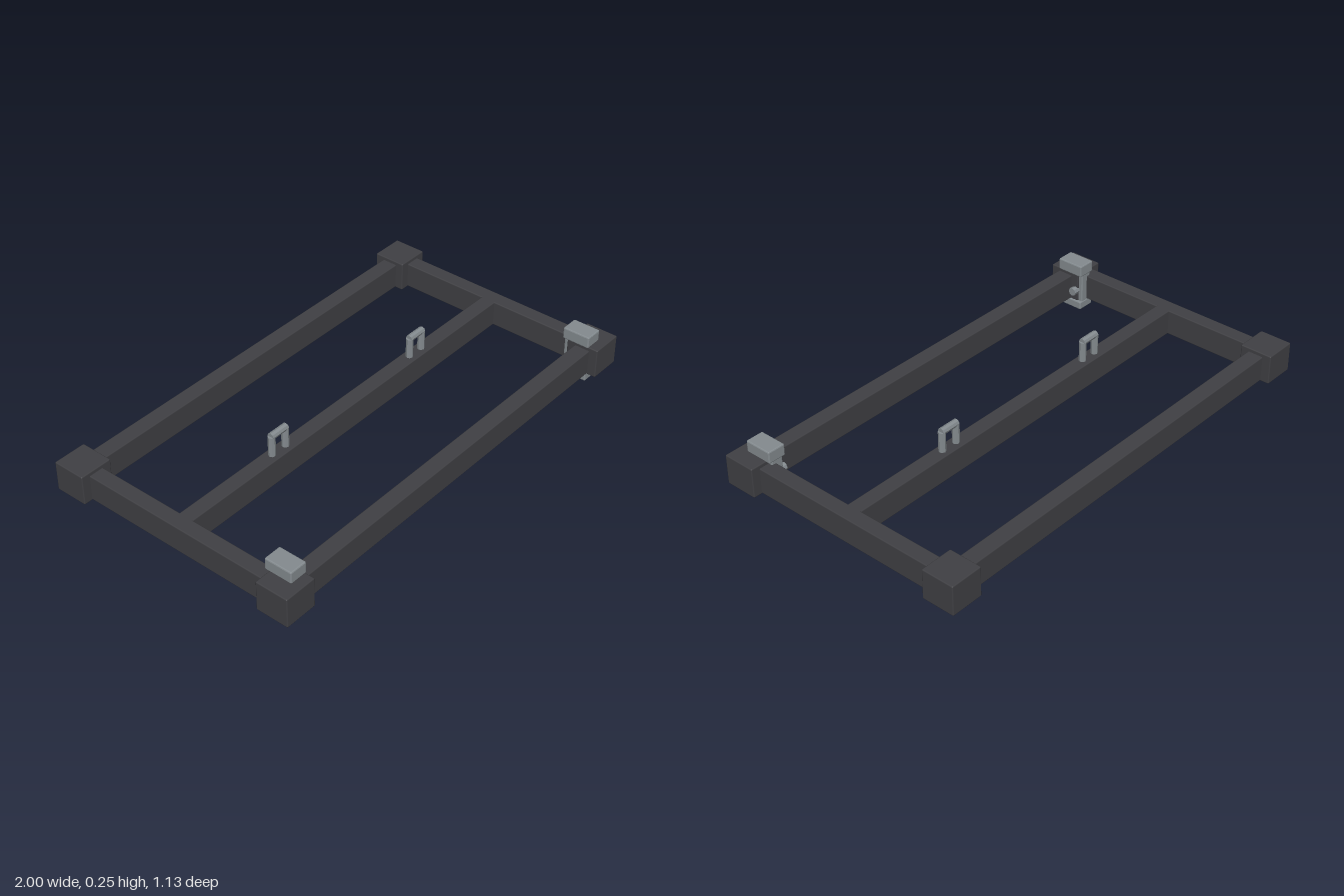
import * as THREE from 'three';
import { RoundedBoxGeometry } from 'three/addons/geometries/RoundedBoxGeometry.js';

export function createModel() {
  const model = new THREE.Group();
  model.name = 'frame';
  const darkSteel = new THREE.MeshStandardMaterial({ color: 0x404044 });
  darkSteel.name = 'dark steel';
  const greySteel = new THREE.MeshStandardMaterial({ color: 0x848b8f, flatShading: true });
  greySteel.name = 'grey steel';

  // Softly bevelled box given by its limits on each axis
  function box(parent, name, material, [x0, x1], [y0, y1], [z0, z1], bevel = 0.005) {
    const geometry = new RoundedBoxGeometry(x1 - x0, y1 - y0, z1 - z0, 1, bevel);
    const mesh = new THREE.Mesh(geometry, material);
    mesh.position.set((x0 + x1) / 2, (y0 + y1) / 2, (z0 + z1) / 2);
    mesh.name = name;
    parent.add(mesh);
    return mesh;
  }

  // Eight-sided bar between two points
  function bar(parent, name, radius, a, b) {
    const from = new THREE.Vector3(...a), to = new THREE.Vector3(...b);
    const dir = to.clone().sub(from);
    const geometry = new THREE.CylinderGeometry(radius, radius, dir.length(), 8);
    const mesh = new THREE.Mesh(geometry, greySteel);
    mesh.position.copy(from).add(to).multiplyScalar(0.5);
    mesh.quaternion.setFromUnitVectors(new THREE.Vector3(0, 1, 0), dir.normalize());
    mesh.name = name;
    parent.add(mesh);
  }

  // Long rails and the middle crossbar
  const railY = [0.037, 0.148];
  box(model, 'frontRail', darkSteel, [-0.9, 0.9], railY, [0.459, 0.529]);
  box(model, 'backRail', darkSteel, [-0.9, 0.9], railY, [-0.529, -0.459]);
  box(model, 'middleRail', darkSteel, [-0.93, 0.93], railY, [-0.033, 0.033]);

  for (const s of [-1, 1]) {
    const span = (a, b) => (s > 0 ? [a, b] : [-b, -a]);
    const side = s > 0 ? 'left' : 'right';

    // Side rail and its two corner blocks
    box(model, side + 'SideRail', darkSteel, span(0.896, 0.962), railY, [-0.45, 0.45]);
    box(model, side + 'FrontCorner', darkSteel, span(0.857, 1), [0.035, 0.164], [0.424, 0.567]);
    box(model, side + 'BackCorner', darkSteel, span(0.857, 1), [0.035, 0.164], [-0.567, -0.424]);

    // Clamp gripping the front corner, with a cross bolt
    const clamp = new THREE.Group();
    clamp.name = side + 'Clamp';
    box(clamp, 'clampTop', greySteel, span(0.852, 0.93), [0.16, 0.211], [0.404, 0.525]);
    box(clamp, 'clampFoot', greySteel, span(0.852, 0.93), [0, 0.036], [0.404, 0.525]);
    box(clamp, 'clampPost', greySteel, span(0.865, 0.917), [0.02, 0.19], [0.406, 0.445]);
    bar(clamp, 'clampBolt', 0.018, [s * 0.835, 0.085, 0.437], [s * 0.89, 0.085, 0.437]);
    model.add(clamp);

    // Upright loop on the middle rail
    const loop = new THREE.Group();
    loop.name = side + 'Loop';
    for (const x of [-0.037, 0.037]) {
      bar(loop, 'loopLeg', 0.015, [x, 0.14, 0], [x, 0.234, 0]);
    }
    bar(loop, 'loopTop', 0.015, [-0.042, 0.235, 0], [0.042, 0.235, 0]);
    loop.position.x = s * 0.407;
    model.add(loop);
  }
  return model;
}
